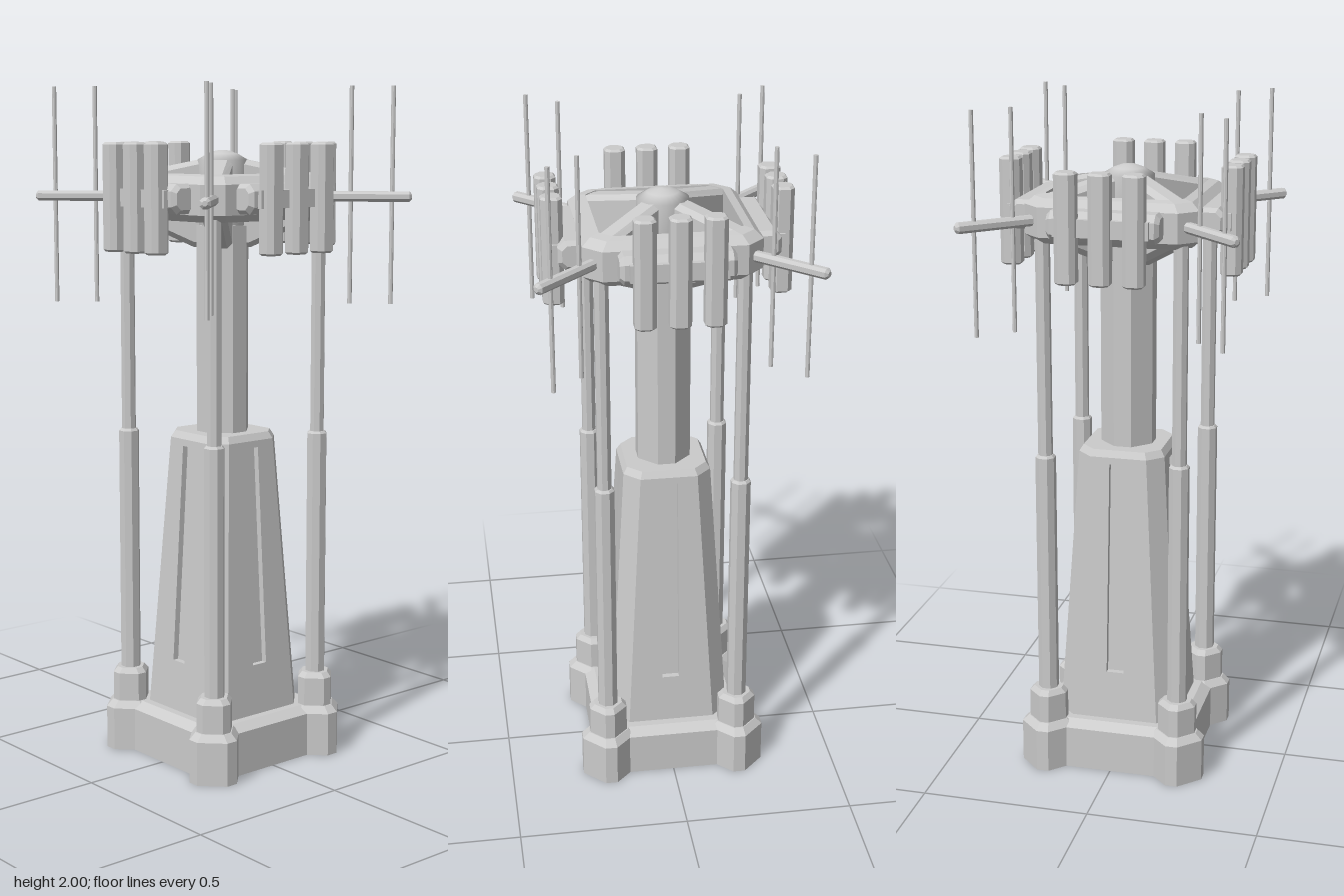
import * as THREE from 'three';

const mat = new THREE.MeshStandardMaterial({ color: 0xcccccc, flatShading: true });

function mesh(name, geometry, x = 0, y = 0, z = 0) {
  const m = new THREE.Mesh(geometry, mat);
  m.name = name;
  m.position.set(x, y, z);
  return m;
}

// Flat faces given as loops of corners, counter-clockwise from outside
function faces(loops) {
  const pos = [];
  for (const l of loops)
    for (let i = 1; i < l.length - 1; i++) pos.push(...l[0], ...l[i], ...l[i + 1]);
  const g = new THREE.BufferGeometry();
  g.setAttribute('position', new THREE.Float32BufferAttribute(pos, 3));
  g.computeVertexNormals();
  return g;
}

// Octagonal loft: sections are [y, half width, half length of the flat side]
function loft(sections, closed = false) {
  const rings = sections.map(([y, h, c]) =>
    [[h, c], [c, h], [-c, h], [-h, c], [-h, -c], [-c, -h], [c, -h], [h, -c]].map(([x, z]) => [x, y, z]));
  const loops = [];
  const n = rings.length;
  for (let k = 0; k < (closed ? n : n - 1); k++) {
    const a = rings[k], b = rings[(k + 1) % n];
    for (let i = 0; i < 8; i++) {
      const j = (i + 1) % 8;
      loops.push([a[i], b[i], b[j], a[j]]);
    }
  }
  if (!closed) loops.push(rings[0], [...rings[n - 1]].reverse());
  return faces(loops);
}

// One side of the tapered tower with a recessed slot, plus one corner chamfer
function towerSide() {
  const yb = 0.13, hb = 0.182, cb = 0.132, yt = 0.97, ht = 0.13, ct = 0.085;
  const zAt = y => hb + (ht - hb) * (y - yb) / (yt - yb);
  const rect = inset => [[-0.026, 0.3], [0.026, 0.3], [0.026, 0.95], [-0.026, 0.95]]
    .map(([x, y]) => [x, y, zAt(y) - inset]);
  const outer = [[-cb, yb, hb], [cb, yb, hb], [ct, yt, ht], [-ct, yt, ht]];
  const hole = rect(0), floor = rect(0.018);
  const loops = [floor, [[cb, yb, hb], [hb, yb, cb], [ht, yt, ct], [ct, yt, ht]]];
  for (let i = 0; i < 4; i++) {
    const j = (i + 1) % 4;
    loops.push([outer[i], outer[j], hole[j], hole[i]], [hole[i], hole[j], floor[j], floor[i]]);
  }
  return faces(loops);
}

// Deep tapered rib running from the centre to a corner of the head
function ribGeometry() {
  const s = new THREE.Shape([[0, 1.79], [0.28, 1.73], [0.28, 1.64], [0.08, 1.55], [0, 1.55]]
    .map(p => new THREE.Vector2(...p)));
  const g = new THREE.ExtrudeGeometry(s, {
    depth: 0.04, bevelEnabled: true, bevelThickness: 0.015, bevelSize: 0.015, bevelSegments: 1,
  });
  return g.translate(0, 0, -0.02);
}

// Octagonal bar along x with chamfered ends
function barGeometry(length, h, c, tip) {
  const e = length / 2;
  return loft([[-e, h - tip, c - tip / 2], [-e + tip, h, c], [e - tip, h, c], [e, h - tip, c - tip / 2]])
    .rotateZ(Math.PI / 2);
}

function sideAssembly() {
  const side = new THREE.Group();
  side.name = 'side';
  side.add(mesh('towerSide', towerSide()));
  // Antenna mount
  side.add(mesh('mountBeam', barGeometry(0.32, 0.042, 0.022, 0.012), 0, 1.685, 0.27));
  side.add(mesh('mountPlate', new THREE.BoxGeometry(0.27, 0.05, 0.03), 0, 1.685, 0.31));
  // Three upright antenna panels
  for (const x of [-0.096, 0, 0.096]) {
    side.add(mesh('antennaPanel', loft([
      [1.53, 0.024, 0.012], [1.536, 0.03, 0.016], [1.834, 0.03, 0.016], [1.84, 0.024, 0.012],
    ]), x, 0, 0.322));
    side.add(mesh('panelClip', new THREE.BoxGeometry(0.03, 0.08, 0.02), x, 1.685, 0.296));
  }
  return side;
}

function cornerAssembly() {
  const corner = new THREE.Group();
  corner.name = 'corner';
  const p = 0.2;
  // Footing
  corner.add(mesh('footing', loft([[0, 0.08, 0.018], [0.13, 0.08, 0.018], [0.15, 0.06, 0.014]]), p, 0, p));
  corner.add(mesh('legSocket', loft([[0.14, 0.056, 0.014], [0.235, 0.056, 0.014], [0.25, 0.042, 0.012]]), p, 0, p));
  // Telescoping leg
  corner.add(mesh('lowerLeg', loft([[0.24, 0.028, 0.012], [0.983, 0.028, 0.012], [0.99, 0.022, 0.01]]), p, 0, p));
  corner.add(mesh('upperLeg', loft([[0.98, 0.02, 0.008], [1.65, 0.02, 0.008]]), p, 0, p));
  // Rib and outrigger share the diagonal
  const diagonal = new THREE.Group();
  diagonal.name = 'diagonal';
  diagonal.rotation.y = -Math.PI / 4;
  diagonal.add(mesh('headRib', ribGeometry()));
  diagonal.add(mesh('outrigger', barGeometry(0.27, 0.015, 0.007, 0.008), 0.418, 1.683, 0));
  for (const r of [0.375, 0.495])
    diagonal.add(mesh('whipAntenna', new THREE.CylinderGeometry(0.0065, 0.0065, 0.63, 8), r, 1.685, 0));
  corner.add(diagonal);
  return corner;
}

export function createModel() {
  const model = new THREE.Group();
  model.name = 'antennaTower';

  // Central stack
  model.add(mesh('base', loft([[0, 0.235, 0.19], [0.13, 0.235, 0.19], [0.15, 0.205, 0.16]])));
  model.add(mesh('towerCap', loft([[0.97, 0.13, 0.085], [0.99, 0.118, 0.078]])));
  model.add(mesh('column', loft([[0.98, 0.078, 0.026], [1.6, 0.078, 0.026]])));

  // Square head frame with chamfered corners
  model.add(mesh('headFrame', loft([
    [1.62, 0.228, 0.183], [1.64, 0.25, 0.2], [1.725, 0.25, 0.2],
    [1.747, 0.226, 0.185], [1.752, 0.2, 0.165], [1.625, 0.2, 0.165],
  ], true)));

  // Domed hub over the ribs
  const hub = mesh('hub', new THREE.LatheGeometry(
    [[0, 1.53], [0.075, 1.55], [0.075, 1.788], [0.045, 1.806], [0.02, 1.815], [0, 1.817]]
      .map(p => new THREE.Vector2(...p)), 24));
  hub.material = new THREE.MeshStandardMaterial({ color: 0xcccccc });
  model.add(hub);

  for (let i = 0; i < 4; i++) {
    const side = sideAssembly(), corner = cornerAssembly();
    side.rotation.y = corner.rotation.y = i * Math.PI / 2;
    model.add(side, corner);
  }
  return model;
}
